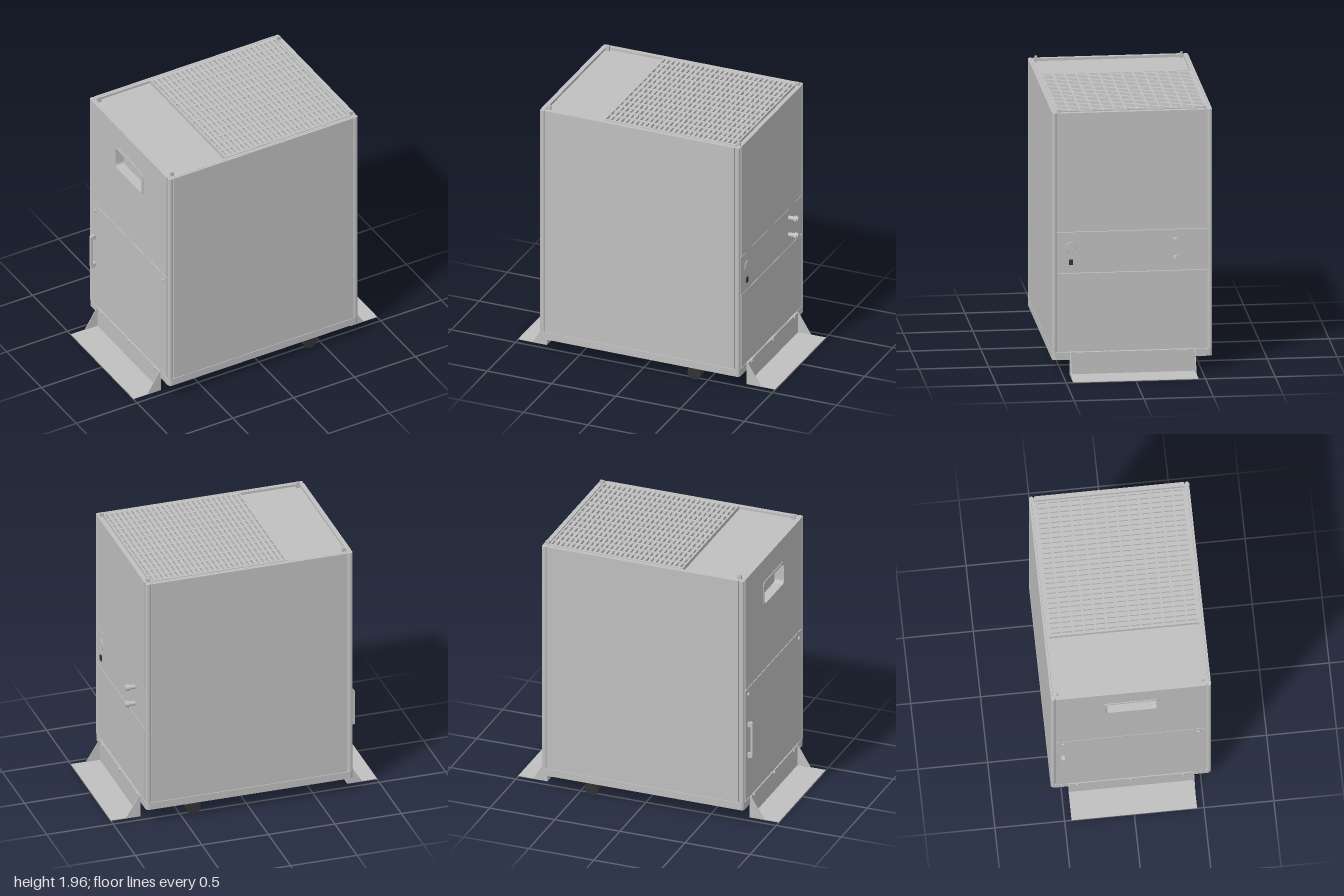
import * as THREE from 'three';

const grey = new THREE.MeshStandardMaterial({ color: 0xc0c0c0 });
grey.name = 'light grey metal';
const black = new THREE.MeshStandardMaterial({ color: 0x333333 });
black.name = 'black rubber';

// Half sizes and heights of the cabinet
const HX = 0.7775, HZ = 0.575, BASE = 0.11, SILL = 0.165, TOP = 1.93;

function add(parent, name, geometry, x = 0, y = 0, z = 0, material = grey) {
  const mesh = new THREE.Mesh(geometry, material);
  mesh.name = name;
  mesh.position.set(x, y, z);
  parent.add(mesh);
  return mesh;
}

// Box given by its limits
function block(parent, name, x0, x1, y0, y1, z0, z1, material = grey) {
  return add(parent, name, new THREE.BoxGeometry(x1 - x0, y1 - y0, z1 - z0),
    (x0 + x1) / 2, (y0 + y1) / 2, (z0 + z1) / 2, material);
}

function roundRect(w, h, r, path = new THREE.Shape(), cx = 0, cy = 0) {
  const x = w / 2, y = h / 2;
  path.absarc(cx + x - r, cy - y + r, r, -Math.PI / 2, 0);
  path.absarc(cx + x - r, cy + y - r, r, 0, Math.PI / 2);
  path.absarc(cx - x + r, cy + y - r, r, Math.PI / 2, Math.PI);
  path.absarc(cx - x + r, cy - y + r, r, Math.PI, Math.PI * 1.5);
  path.closePath();
  return path;
}

function rect(w, h, path = new THREE.Shape(), cx = 0, cy = 0) {
  path.moveTo(cx - w / 2, cy - h / 2);
  path.lineTo(cx + w / 2, cy - h / 2);
  path.lineTo(cx + w / 2, cy + h / 2);
  path.lineTo(cx - w / 2, cy + h / 2);
  path.closePath();
  return path;
}

const extrude = (shape, depth) =>
  new THREE.ExtrudeGeometry(shape, { depth, bevelEnabled: false, curveSegments: 6 });
const upward = (shape, depth) => extrude(shape, depth).rotateX(-Math.PI / 2);
const sideways = (shape, depth) => extrude(shape, depth).rotateY(Math.PI / 2);
const rodX = (r, length, sides = 20) =>
  new THREE.CylinderGeometry(r, r, length, sides).rotateZ(Math.PI / 2);

function buildCabinet(g) {
  add(g, 'base', upward(roundRect(2 * HX, 2 * HZ, 0.025), SILL - BASE), 0, BASE, 0);

  // Rounded corner posts and the small lugs on top of them
  for (const sx of [-1, 1]) for (const sz of [-1, 1]) {
    add(g, 'cornerPost', upward(roundRect(0.04, 0.034, 0.016), TOP - SILL),
      sx * (HX - 0.02), SILL, sz * (HZ - 0.017));
    add(g, 'topLug', new THREE.BoxGeometry(0.028, 0.05, 0.018), sx * 0.737 + 0.012, TOP, sz * 0.522);
  }

  // Large panels on front and back, with backing walls
  for (const s of [-1, 1]) {
    add(g, 'sidePanel', new THREE.BoxGeometry(1.472, 1.762, 0.014), 0, 1.049, s * (HZ - 0.008));
    add(g, 'sideWall', new THREE.BoxGeometry(1.52, TOP - SILL, 0.018), 0, (TOP + SILL) / 2, s * 0.549);
  }

  // Right end: three panels over a backing wall
  block(g, 'rightWall', 0.745, 0.762, SILL, TOP, -0.55, 0.55);
  block(g, 'rightUpperPanel', 0.76, HX, 1.054, TOP, -0.537, 0.537);
  block(g, 'rightMiddlePanel', 0.76, HX - 0.001, 0.75, 1.05, -0.545, 0.545);
  block(g, 'rightLowerPanel', 0.76, HX, 0.17, 0.746, -0.537, 0.537);

  // Left end: door below, panel with grip pocket above
  block(g, 'leftWall', -0.762, -0.745, SILL, 1.052, -0.55, 0.55);
  block(g, 'door', -HX, -0.76, 0.17, 1.046, -0.537, 0.537);
  const upperY = (1.054 + TOP) / 2, gripY = 1.655;
  for (const [name, x, w] of [['leftUpperWall', -0.762, 1.1], ['leftUpperPanel', -HX, 1.074]]) {
    const shape = rect(w, TOP - 1.052);
    shape.holes.push(roundRect(0.38, 0.17, 0.03, new THREE.Path(), 0, gripY - upperY));
    add(g, name, sideways(shape, 0.017), x, upperY, 0);
  }
  const rim = roundRect(0.41, 0.195, 0.04);
  rim.holes.push(roundRect(0.37, 0.16, 0.028, new THREE.Path()));
  add(g, 'gripRim', sideways(rim, 0.075), -HX - 0.006, gripY, 0);
  block(g, 'gripBack', -0.712, -0.704, gripY - 0.0975, gripY + 0.0975, -0.205, 0.205);
}

function buildTop(g) {
  block(g, 'topFloor', -0.75, 0.75, 1.86, 1.885, -0.545, 0.545);
  block(g, 'topCover', -0.745, -0.3, 1.885, 1.912, -0.54, 0.54);

  // Slotted grille: rows and columns of narrow holes
  const w = 1.03, d = 1.08;
  const shape = rect(w, d);
  for (let i = 0; i < 27; i++) for (let j = 0; j < 13; j++) {
    shape.holes.push(rect(0.014, 0.066, new THREE.Path(), (i - 13) * 0.038, (j - 6) * 0.0815));
  }
  add(g, 'grille', upward(shape, 0.02), 0.219, 1.915, 0);
  block(g, 'grilleEdge', -0.296, -0.288, 1.885, 1.916, -0.54, 0.54);
}

function buildFittings(g) {
  // Hose connectors
  for (const y of [0.845, 0.978]) {
    add(g, 'hosePipe', rodX(0.016, 0.075), 0.81, y, -0.31);
    add(g, 'hoseCollar', rodX(0.025, 0.018), 0.834, y, -0.31);
    add(g, 'hoseTip', rodX(0.02, 0.012), 0.848, y, -0.31);
  }

  // Round switch and socket
  const switchRing = add(g, 'switchRing', new THREE.TorusGeometry(0.035, 0.005, 8, 32), HX, 0.94, 0.44);
  switchRing.rotation.y = Math.PI / 2;
  add(g, 'switchFace', rodX(0.034, 0.008, 32), HX, 0.94, 0.44);
  block(g, 'socket', 0.77, 0.785, 0.81, 0.85, 0.425, 0.455, black);

  // Door handle and latches
  const bar = roundRect(0.042, 0.28, 0.015);
  bar.holes.push(roundRect(0.024, 0.21, 0.006, new THREE.Path(), 0.005, 0));
  add(g, 'doorHandle', extrude(bar, 0.024), -0.794, 0.64, -0.502);
  for (const z of [-0.485, 0.485]) add(g, 'doorLatch', rodX(0.016, 0.016), -0.779, 0.995, z);
}

function buildFoot(g, s) {
  // Angled bracket: wall, floor flange, end gussets and bolts
  const x = (v) => s * v;
  add(g, 'footWall', new THREE.BoxGeometry(0.008, 0.165, 0.9), x(0.781), 0.0825, 0);
  add(g, 'footFlange', new THREE.BoxGeometry(0.217, 0.005, 0.9), x(0.8915), 0.0025, 0);
  const tri = new THREE.Shape();
  tri.moveTo(x(0.783), 0);
  tri.lineTo(x(0.89), 0);
  tri.lineTo(x(0.789), 0.165);
  tri.lineTo(x(0.783), 0.165);
  tri.closePath();
  for (const z of [-0.45, 0.445]) add(g, 'footGusset', extrude(tri, 0.005), 0, 0, z);
  for (const z of [-0.385, 0, 0.375]) add(g, 'footBolt', rodX(0.012, 0.012), x(0.787), 0.15, z);
}

function buildCaster(z) {
  const g = new THREE.Group();
  g.name = 'caster';
  g.position.set(0.405, 0, z);
  const disc = (r, w) => new THREE.CylinderGeometry(r, r, w, 28).rotateX(Math.PI / 2);
  for (const s of [-1, 1]) add(g, 'wheel', disc(0.052, 0.026), 0, 0.052, s * 0.019, black);
  add(g, 'hub', disc(0.03, 0.07), 0, 0.052, 0, black);
  add(g, 'fork', new THREE.BoxGeometry(0.05, 0.05, 0.05), 0, 0.08, 0, black);
  add(g, 'mountPlate', new THREE.BoxGeometry(0.09, 0.01, 0.08), 0, 0.105, 0, black);
  return g;
}

export function createModel() {
  const model = new THREE.Group();
  model.name = 'wheeledCabinet';
  const cabinet = new THREE.Group();
  cabinet.name = 'cabinet';
  cabinet.position.x = -0.0025;
  buildCabinet(cabinet);
  buildTop(cabinet);
  buildFittings(cabinet);
  model.add(cabinet);
  for (const s of [-1, 1]) {
    const foot = new THREE.Group();
    foot.name = s > 0 ? 'rightEndFoot' : 'leftEndFoot';
    buildFoot(foot, s);
    model.add(foot);
    model.add(buildCaster(s * 0.503));
  }
  return model;
}
